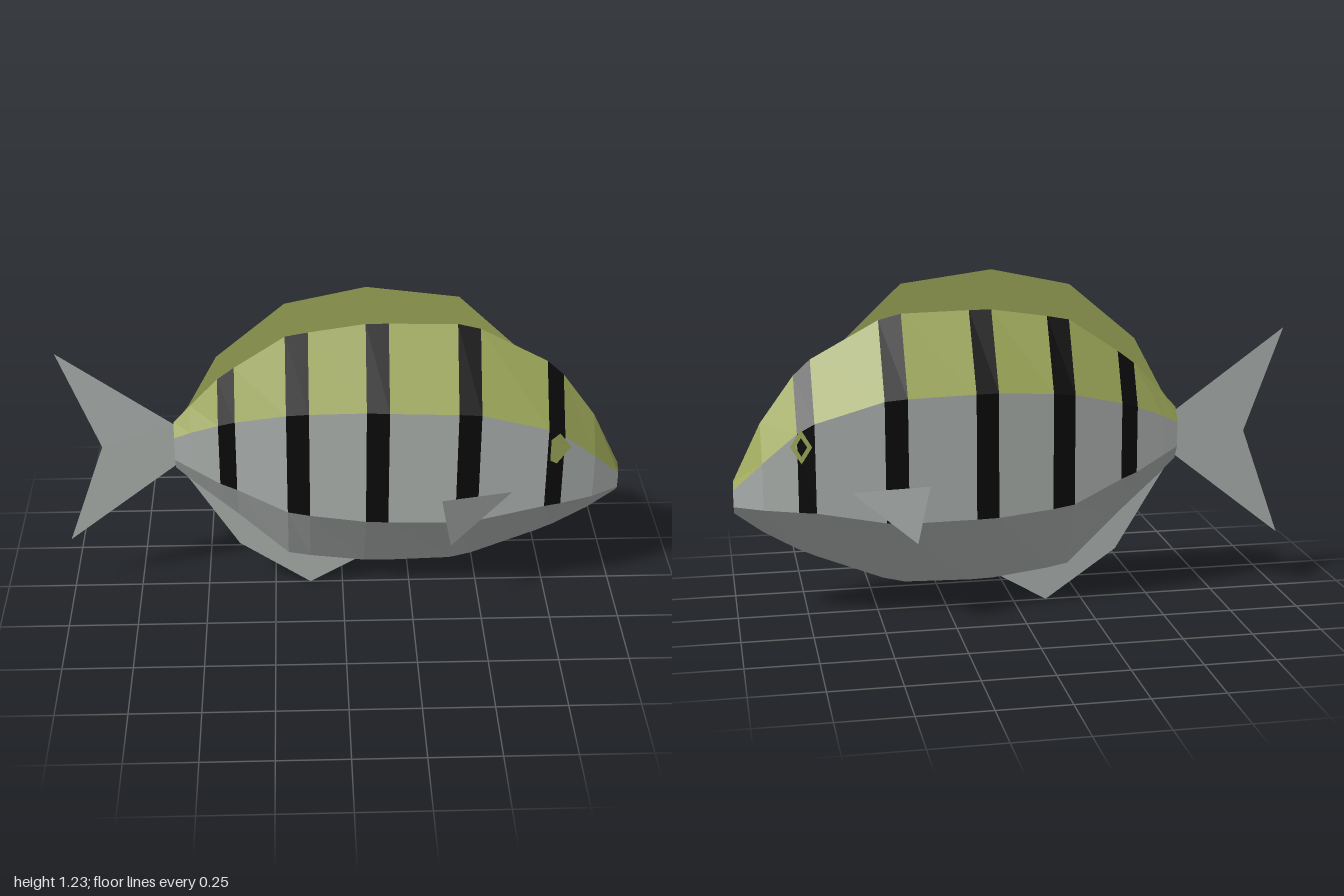
import * as THREE from 'three';

const mat = (name, color) => {
  const m = new THREE.MeshStandardMaterial({ color });
  m.name = name;
  m.side = THREE.DoubleSide;
  return m;
};

// Body stations: x, back ridge y, upper edge y, lower edge y, keel y, half width, striped up to next station
const STATIONS = [
  [-0.6, 0.71, 0.66, 0.57, 0.52, 0.03, 0],
  [-0.54, 0.775, 0.69, 0.54, 0.46, 0.045, 0],
  [-0.44, 0.88, 0.73, 0.49, 0.37, 0.068, 1],
  [-0.38, 0.925, 0.75, 0.47, 0.315, 0.08, 0],
  [-0.2, 1.045, 0.795, 0.395, 0.14, 0.118, 1],
  [-0.12, 1.06, 0.805, 0.385, 0.125, 0.128, 0],
  [0.08, 1.09, 0.82, 0.37, 0.1, 0.15, 1],
  [0.16, 1.09, 0.82, 0.37, 0.098, 0.156, 0],
  [0.4, 1.085, 0.815, 0.37, 0.105, 0.162, 1],
  [0.48, 1.065, 0.808, 0.375, 0.125, 0.159, 0],
  [0.72, 0.935, 0.735, 0.417, 0.222, 0.137, 1],
  [0.78, 0.88, 0.7, 0.42, 0.25, 0.125, 0],
  [0.9, 0.715, 0.59, 0.423, 0.32, 0.085, 0],
  [1, 0.51, 0.485, 0.425, 0.395, 0.03, 0],
];

// Half width of the flank at x
function halfWidth(x) {
  const i = Math.max(1, STATIONS.findIndex((s) => s[0] >= x));
  const a = STATIONS[i - 1], b = STATIONS[i];
  return a[5] + ((b[5] - a[5]) * (x - a[0])) / (b[0] - a[0]);
}

// Six-sided body; faces are sorted by colour into material groups
function bodyGeometry() {
  const faces = [[], [], []]; // grey, olive, black
  const rings = STATIONS.map(([x, top, up, low, keel, w]) => [
    [x, top, 0], [x, up, w], [x, low, w], [x, keel, 0], [x, low, -w], [x, up, -w],
  ]);
  for (let i = 0; i < rings.length - 1; i++) {
    for (let j = 0; j < 6; j++) {
      const k = (j + 1) % 6;
      const belly = j === 2 || j === 3;
      const back = j === 0 || j === 5;
      const colour = belly ? 0 : STATIONS[i][6] ? 2 : back ? 1 : 0;
      const a = rings[i][j], b = rings[i][k], c = rings[i + 1][k], d = rings[i + 1][j];
      faces[colour].push(a, b, c, a, c, d);
    }
  }
  // Tail root and snout caps
  const first = rings[0], last = rings[rings.length - 1];
  for (let j = 1; j < 5; j++) {
    faces[0].push(first[0], first[j + 1], first[j], last[0], last[j], last[j + 1]);
  }
  const geo = new THREE.BufferGeometry();
  geo.setAttribute('position', new THREE.Float32BufferAttribute(faces.flat(2), 3));
  let start = 0;
  faces.forEach((f, m) => {
    geo.addGroup(start, f.length, m);
    start += f.length;
  });
  geo.computeVertexNormals();
  return geo;
}

const outline = (points) => new THREE.Shape(points.map(([x, y]) => new THREE.Vector2(x, y)));

export function createModel() {
  const group = new THREE.Group();
  const grey = mat('silverGrey', 0xaeb3b0);
  const olive = mat('oliveGreen', 0xa0aa5a);
  const black = mat('stripeBlack', 0x0b0b0b);

  const add = (name, geo, material) => {
    const mesh = new THREE.Mesh(geo, material);
    mesh.name = name;
    group.add(mesh);
    return mesh;
  };
  const flatFin = (name, points, material) => add(name, new THREE.ShapeGeometry(outline(points)), material);

  add('body', bodyGeometry(), [grey, olive, black]);

  // Fins on the centre plane
  flatFin('dorsalFin', [
    [-0.6, 0.7], [-0.545, 0.775], [-0.44, 0.97], [-0.2, 1.172], [0.08, 1.232],
    [0.4, 1.19], [0.6, 1.0], [0.4, 1.0], [-0.1, 1.0], [-0.4, 0.84],
  ], olive);
  flatFin('analFin', [
    [-0.56, 0.48], [-0.38, 0.185], [-0.12, 0.005], [0.05, 0.105], [-0.1, 0.2], [-0.35, 0.4],
  ], grey);
  flatFin('tailFin', [
    [-0.6, 0.7], [-1, 0.99], [-0.86, 0.61], [-1, 0.215], [-0.6, 0.53],
  ], grey);

  for (const s of [1, -1]) {
    const side = s > 0 ? 'left' : 'right';

    // Side fins flare out towards the tail
    const fin = new THREE.BufferGeometry();
    const root = [0.6, 0.49, 0.155 * s], tip = [0.34, 0.53, 0.268 * s], low = [0.38, 0.315, 0.23 * s];
    const corners = s > 0 ? [root, tip, low] : [root, low, tip];
    fin.setAttribute('position', new THREE.Float32BufferAttribute(corners.flat(), 3));
    fin.computeVertexNormals();
    add(side + 'SideFin', fin, grey);

    // Eyes lie on the flank; the right one is an open ring
    const shape = outline(s > 0
      ? [[0.73, 0.61], [0.755, 0.595], [0.805, 0.655], [0.76, 0.718], [0.73, 0.695]]
      : [[0.73, 0.655], [0.767, 0.595], [0.805, 0.655], [0.767, 0.718]]);
    if (s < 0) {
      shape.holes.push(outline([[0.747, 0.655], [0.767, 0.688], [0.787, 0.655], [0.767, 0.622]]));
    }
    const eye = new THREE.ShapeGeometry(shape);
    const p = eye.attributes.position;
    for (let i = 0; i < p.count; i++) p.setZ(i, s * (halfWidth(p.getX(i)) + 0.005));
    if (s < 0) {
      const index = Array.from(eye.index.array);
      eye.setIndex(index.reverse());
    }
    eye.computeVertexNormals();
    add(side + 'Eye', eye, olive);
  }
  return group;
}
